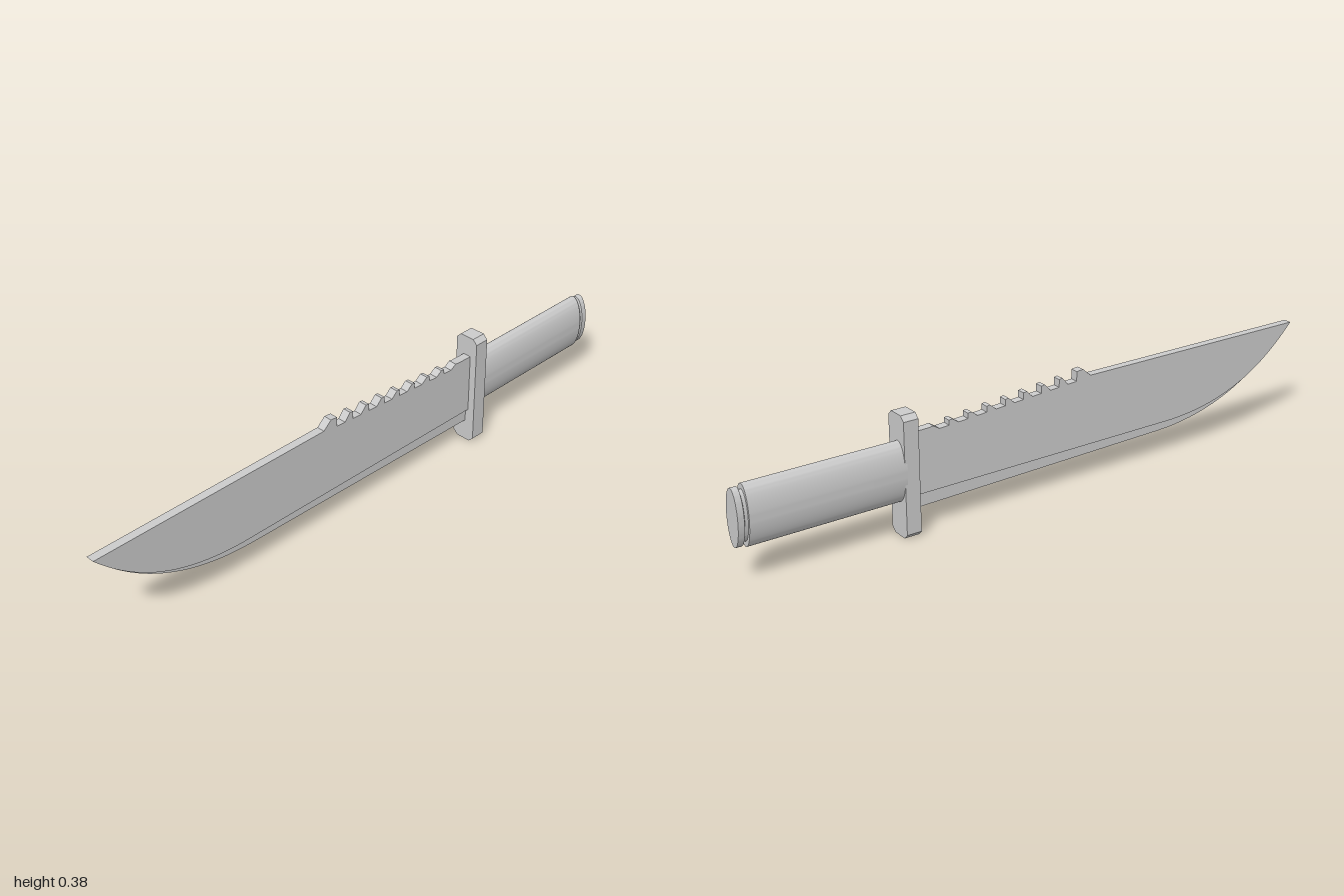
import * as THREE from 'three';
import { toCreasedNormals } from 'three/addons/utils/BufferGeometryUtils.js';

const material = new THREE.MeshStandardMaterial({ color: 0xcccccc });

// Extrudes a side outline drawn in (z, y) across the width from xMin to xMax
function sidePlate(name, shape, xMin, xMax) {
  const geometry = new THREE.ExtrudeGeometry(shape, {
    depth: xMax - xMin, bevelEnabled: false, curveSegments: 20,
  });
  geometry.rotateY(-Math.PI / 2).translate(xMax, 0, 0);
  const mesh = new THREE.Mesh(toCreasedNormals(geometry, 0.5), material);
  mesh.name = name;
  return mesh;
}

// Main blade: curved belly, straight spine and a saw back near the guard
function bladeShape() {
  const s = new THREE.Shape();
  s.moveTo(-0.45, 0.115);
  s.lineTo(0.5, 0.118);
  s.bezierCurveTo(0.72, 0.125, 0.87, 0.2, 1, 0.34);
  s.lineTo(0.182, 0.34);
  // Teeth slope up on the tip side and drop straight on the guard side
  const teeth = 9, pitch = 0.0645;
  for (let i = 0; i < teeth; i++) {
    const z = 0.13 - i * pitch;
    const top = (i === 0 ? 0.365 : 0.36) - i * 0.0058;
    const valley = 0.332 - i * 0.0042;
    s.lineTo(z + (i === 0 ? 0.024 : 0.012), top);
    s.lineTo(z, top - 0.002);
    if (i < teeth - 1) {
      s.lineTo(z, valley);
      s.lineTo(z - 0.032, valley - 0.002);
    }
  }
  s.lineTo(-0.45, 0.31);
  s.closePath();
  return s;
}

// Thin cutting edge below the belly
function edgeShape() {
  const s = new THREE.Shape();
  s.moveTo(-0.45, 0.07);
  s.lineTo(0.46, 0.088);
  s.bezierCurveTo(0.7, 0.095, 0.87, 0.19, 1, 0.34);
  s.bezierCurveTo(0.86, 0.215, 0.72, 0.14, 0.5, 0.13);
  s.lineTo(-0.45, 0.13);
  s.closePath();
  return s;
}

// Upright guard with chamfered corners
function makeGuard() {
  const w = 0.04, h = 0.376, c = 0.015;
  const s = new THREE.Shape([
    [-w + c, 0], [w - c, 0], [w, c], [w, h - c],
    [w - c, h], [-w + c, h], [-w, h - c], [-w, c],
  ].map(([x, y]) => new THREE.Vector2(x, y)));
  const geometry = new THREE.ExtrudeGeometry(s, { depth: 0.048, bevelEnabled: false });
  const mesh = new THREE.Mesh(geometry, material);
  mesh.name = 'guard';
  mesh.position.z = -0.488;
  return mesh;
}

// Oval turned part; profile is [radius, distance behind the centre]
function ovalTurning(name, profile) {
  const geometry = new THREE.LatheGeometry(
    profile.map(([r, d]) => new THREE.Vector2(r, d)), 64);
  geometry.rotateX(-Math.PI / 2).scale(0.39, 1, 1);
  const mesh = new THREE.Mesh(toCreasedNormals(geometry, 0.6), material);
  mesh.name = name;
  mesh.position.set(-0.006, 0.203, 0);
  return mesh;
}

export function createModel() {
  const knife = new THREE.Group();
  knife.name = 'knife';
  knife.add(
    sidePlate('blade', bladeShape(), -0.011, 0.016),
    sidePlate('cuttingEdge', edgeShape(), 0, 0.006),
    makeGuard(),
    ovalTurning('handle', [[0, 0.48], [0.093, 0.48], [0.093, 0.968], [0, 0.968]]),
    // Pommel: narrow neck and end cap
    ovalTurning('pommel', [
      [0, 0.96], [0.076, 0.96], [0.076, 0.978], [0.087, 0.981], [0.087, 1], [0, 1],
    ]),
  );
  return knife;
}
